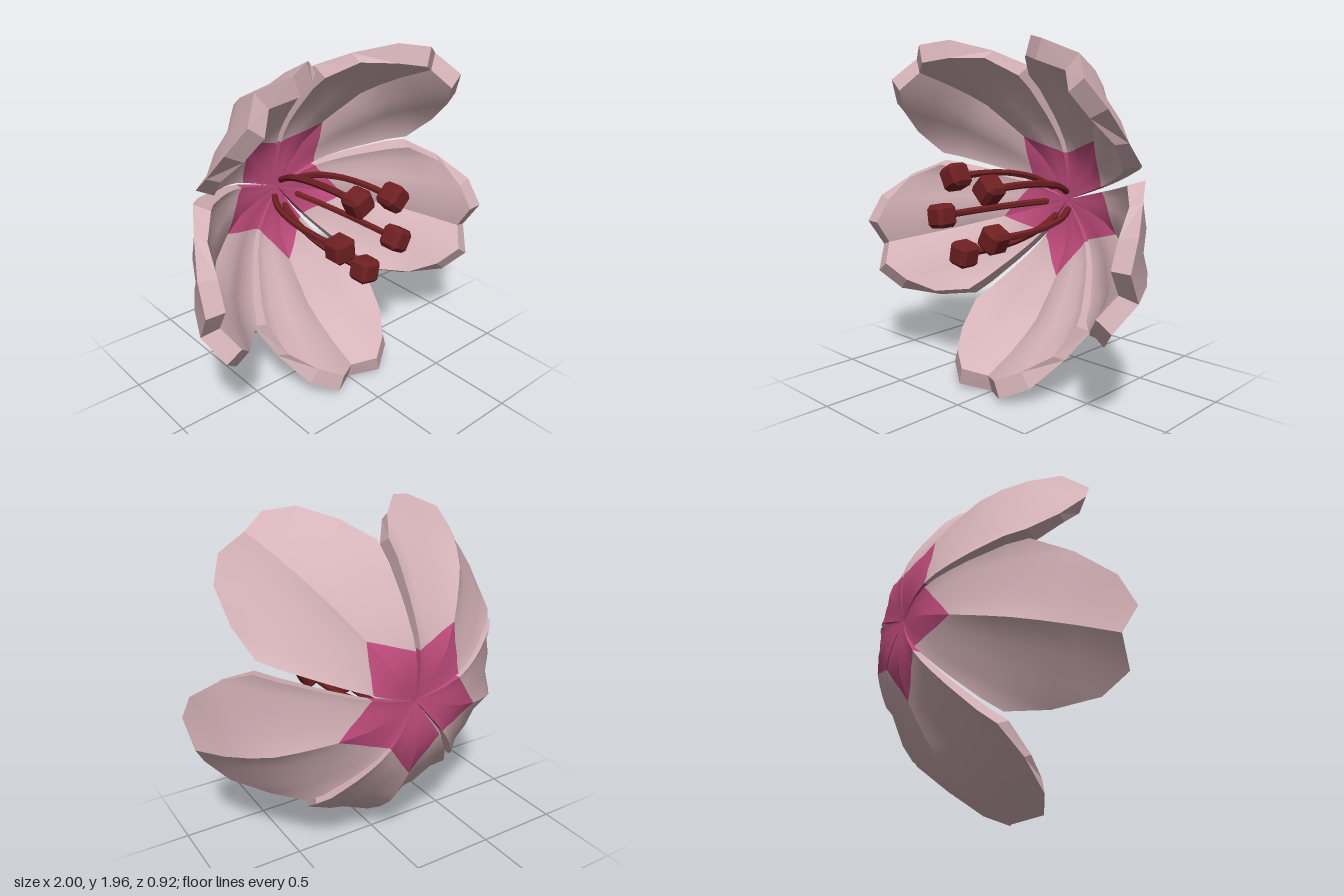
import * as THREE from 'three';
import { ConvexGeometry } from 'three/addons/geometries/ConvexGeometry.js';

const V = (x, y, z) => new THREE.Vector3(x, y, z);

// Depth of the petal midline against distance from the flower centre
const OUTER = {
  mid: [[0, -0.43], [0.12, -0.45], [0.25, -0.46], [0.37, -0.425], [0.5, -0.365], [0.73, -0.22], [0.9, -0.03], [1.03, 0.24]],
  // half rim from the notch at the tip round to the side: x, y, z
  rim: [[0, 1.03, 0.24], [0.16, 1.0, 0.34], [0.3, 0.93, 0.25], [0.395, 0.79, 0.07], [0.435, 0.66, -0.11]],
};
const INNER = {
  mid: [[0, -0.415], [0.25, -0.41], [0.37, -0.365], [0.48, -0.3], [0.7, -0.13], [0.82, 0.04], [0.93, 0.27]],
  rim: [[0, 0.93, 0.27], [0.13, 0.9, 0.35], [0.255, 0.84, 0.27], [0.365, 0.76, 0.13], [0.4, 0.62, -0.02]],
};
const STAR_ROWS = 3, ROWS = 9;
const TIP = 0.46, VALLEY = 0.285; // star radii on the midline and at the petal's side

function depth(profile, d) {
  for (let k = 1; k < profile.length; k++) {
    const [d0, z0] = profile[k - 1], [d1, z1] = profile[k];
    if (d <= d1 || k === profile.length - 1) return z0 + (z1 - z0) * (d - d0) / (d1 - d0);
  }
}

// Rays of points from the centre to each rim point, with one row on the star outline
function rays(surface, s) {
  const last = surface.rim[surface.rim.length - 1];
  const aEnd = Math.atan2(last[0], last[1]);
  const vx = VALLEY * Math.sin(aEnd), vy = VALLEY * Math.cos(aEnd);
  return surface.rim.map(([x, y, z]) => {
    const end = Math.hypot(x, y), a = Math.atan2(x, y);
    const star = TIP * vx / (vx * Math.cos(a) + (TIP - vy) * Math.sin(a));
    const lift = z - depth(surface.mid, end);
    const ray = [];
    for (let j = 0; j <= ROWS; j++) {
      const d = j <= STAR_ROWS ? star * j / STAR_ROWS
        : star + (end - star) * (j - STAR_ROWS) / (ROWS - STAR_ROWS);
      ray.push(V(s * d * Math.sin(a), d * Math.cos(a), depth(surface.mid, d) + lift * (d / end) ** 2));
    }
    return ray;
  });
}

// Smooth half of a petal face; group 0 is the star, group 1 the rest
function faceGeometry(grid, flip) {
  const pos = grid.flat().flatMap(p => p.toArray());
  const n = ROWS + 1, idx = [];
  const tri = (a, b, c) => (flip ? idx.push(a, c, b) : idx.push(a, b, c));
  let starCount = 0;
  for (let j = 0; j < ROWS; j++) {
    for (let i = 0; i < grid.length - 1; i++) {
      const a = i * n + j, b = a + n;
      if (j > 0) tri(a, b, b + 1);
      tri(a, b + 1, a + 1);
    }
    if (j === STAR_ROWS - 1) starCount = idx.length;
  }
  const g = new THREE.BufferGeometry();
  g.setAttribute('position', new THREE.Float32BufferAttribute(pos, 3));
  g.setIndex(idx);
  g.addGroup(0, starCount, 0);
  g.addGroup(starCount, idx.length - starCount, 1);
  g.computeVertexNormals();
  return g;
}

// Flat wall joining the outer and inner faces along the side and rim
function wallGeometry(outer, inner, flip) {
  const path = grid => [...grid[grid.length - 1], ...grid.slice(0, -1).reverse().map(r => r[ROWS])];
  const O = path(outer), I = path(inner), pos = [];
  const tri = (a, b, c) => (flip ? [a, c, b] : [a, b, c]).forEach(p => pos.push(p.x, p.y, p.z));
  for (let k = 0; k < O.length - 1; k++) {
    tri(O[k], O[k + 1], I[k + 1]);
    tri(O[k], I[k + 1], I[k]);
  }
  const g = new THREE.BufferGeometry();
  g.setAttribute('position', new THREE.Float32BufferAttribute(pos, 3));
  g.addGroup(0, STAR_ROWS * 6, 0);
  g.addGroup(STAR_ROWS * 6, pos.length / 3 - STAR_ROWS * 6, 1);
  g.computeVertexNormals();
  return g;
}

// Cube with chamfered edges
function chamferedCube(h, a) {
  const pts = [];
  for (const x of [-1, 1]) for (const y of [-1, 1]) for (const z of [-1, 1]) {
    pts.push(V(x * h, y * a, z * a), V(x * a, y * h, z * a), V(x * a, y * a, z * h));
  }
  return new ConvexGeometry(pts);
}

export function createModel() {
  const make = (name, color, extra = {}) => {
    const m = new THREE.MeshStandardMaterial({ color, ...extra });
    m.name = name;
    return m;
  };
  const petalMat = make('pale pink', 0xd5b3b8);
  const starMat = make('deep pink', 0xbf4b7c);
  const stamenMat = make('dark red', 0x6f2022, { flatShading: true });

  const model = new THREE.Group();
  model.name = 'flower';
  const flower = new THREE.Group();
  flower.name = 'blossom';
  flower.position.y = 1.03;
  model.add(flower);

  // Petal halves, mirrored about the midline
  const parts = [];
  for (const s of [1, -1]) {
    const outer = rays(OUTER, s), inner = rays(INNER, s);
    parts.push(['petalBack', faceGeometry(outer, s > 0)]);
    parts.push(['petalFront', faceGeometry(inner, s < 0)]);
    parts.push(['petalRim', wallGeometry(outer, inner, s < 0)]);
  }
  for (let k = 0; k < 5; k++) {
    const petal = new THREE.Group();
    petal.name = 'petal';
    petal.rotation.z = Math.PI + k * Math.PI * 2 / 5;
    for (const [name, geometry] of parts) {
      const mesh = new THREE.Mesh(geometry, [starMat, petalMat]);
      mesh.name = name;
      petal.add(mesh);
    }
    flower.add(petal);
  }

  // Stamens: curved filaments with chamfered heads
  const headGeometry = chamferedCube(0.065, 0.042);
  for (const [x, y] of [[-0.1, 0.2], [0.155, 0.155], [0.19, -0.1], [-0.04, -0.21], [-0.22, -0.025]]) {
    const stamen = new THREE.Group();
    stamen.name = 'stamen';
    const curve = new THREE.CatmullRomCurve3(
      [[0.42, -0.32], [0.72, -0.2], [0.95, 0.0], [1.02, 0.2], [1, 0.38]].map(([f, z]) => V(x * f, y * f, z)));
    const filament = new THREE.Mesh(new THREE.TubeGeometry(curve, 10, 0.02, 6), stamenMat);
    filament.name = 'filament';
    // closed lower end of the filament
    const base = new THREE.Mesh(new THREE.SphereGeometry(0.02, 6, 4), stamenMat);
    base.name = 'filamentBase';
    base.position.copy(curve.getPoint(0));
    const head = new THREE.Mesh(headGeometry, stamenMat);
    head.name = 'anther';
    head.position.set(x, y, 0.4);
    head.rotation.z = Math.atan2(y, x);
    stamen.add(filament, base, head);
    flower.add(stamen);
  }
  return model;
}
